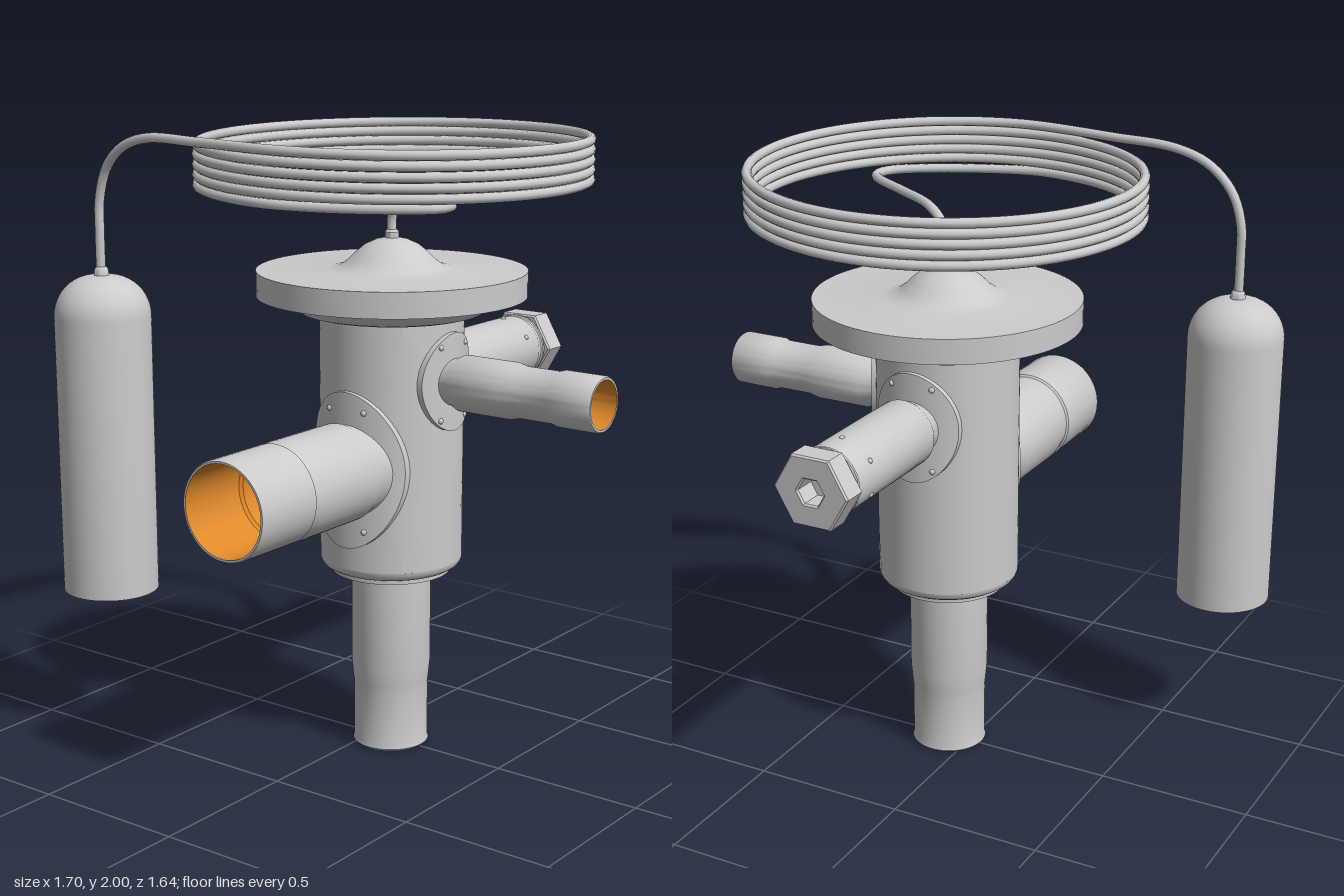
import * as THREE from 'three';
import { toCreasedNormals } from 'three/addons/utils/BufferGeometryUtils.js';

const grey = new THREE.MeshStandardMaterial({ color: 0xcccccc, side: THREE.DoubleSide });
const copper = new THREE.MeshStandardMaterial({ color: 0xe08a2c, side: THREE.DoubleSide });
const brass = new THREE.MeshStandardMaterial({ color: 0xd8b030 });
const R = 0.228; // body radius
const BODY_LOW = 0.64, BODY_TOP = 1.44;

function add(parent, name, geometry, material = grey) {
  const mesh = new THREE.Mesh(geometry, material);
  mesh.name = name;
  parent.add(mesh);
  return mesh;
}

// Turned part from [radius, height] pairs, listed bottom to top
function turned(points, segments = 64) {
  const g = new THREE.LatheGeometry(points.map(([r, y]) => new THREE.Vector2(r, y)), segments);
  return toCreasedNormals(g, 0.6);
}

// Closed-loop rows of [x, y, radius] laid on a cylinder around y, facing +z
function wrapped(rows, turn, segments = 64) {
  const pos = [], index = [], w = segments + 1;
  rows.forEach((row, i) => {
    for (let j = 0; j <= segments; j++) {
      const [x, y, r] = row((j / segments) * Math.PI * 2);
      pos.push(x, y, Math.sqrt(r * r - x * x));
      if (i && j) {
        const a = (i - 1) * w + j - 1, b = i * w + j - 1;
        index.push(a, a + 1, b, a + 1, b + 1, b);
      }
    }
  });
  const g = new THREE.BufferGeometry();
  g.setAttribute('position', new THREE.Float32BufferAttribute(pos, 3));
  g.setIndex(index);
  return toCreasedNormals(g, 0.6).rotateY(turn);
}

// Quarter of the body wall with a round port cut in it
function portWall(turn, cy, hole) {
  const half = R * Math.SQRT1_2, rows = [];
  for (let i = 0; i <= 8; i++) {
    rows.push((a) => {
      const c = Math.cos(a), s = Math.sin(a), m = Math.max(Math.abs(c), Math.abs(s)), k = i / 8;
      const edgeY = THREE.MathUtils.lerp(BODY_LOW, BODY_TOP, (s / m + 1) / 2);
      return [
        THREE.MathUtils.lerp((half * c) / m, hole * c, k),
        THREE.MathUtils.lerp(edgeY, cy + hole * s, k), R];
    });
  }
  return wrapped(rows, turn);
}

// Oval saddle flange hugging the body, with four small rivets
function saddle(parent, name, turn, cy, hw, hh, inner, dx, dy) {
  const t = 0.016, group = new THREE.Group();
  group.name = name;
  const rows = [(a) => [hw * Math.cos(a), cy + hh * Math.sin(a), R - 0.005]];
  for (let i = 0; i <= 6; i++) {
    const w = THREE.MathUtils.lerp(hw, inner, i / 6), h = THREE.MathUtils.lerp(hh, inner, i / 6);
    rows.push((a) => [w * Math.cos(a), cy + h * Math.sin(a), R + t]);
  }
  add(group, name + 'Plate', wrapped(rows, turn));
  for (const sx of [-1, 1]) for (const sy of [-1, 1]) {
    const g = new THREE.SphereGeometry(0.01, 12, 8);
    g.translate(sx * dx, cy + sy * dy, Math.sqrt((R + t) ** 2 - dx * dx) - 0.003).rotateY(turn);
    add(group, name + 'Rivet', g);
  }
  parent.add(group);
}

// Pipe along local y: outer skin and lining
function pipe(parent, name, outer, lining, liningMaterial) {
  const group = new THREE.Group();
  group.name = name;
  add(group, name + 'Skin', turned(outer));
  add(group, name + 'Lining', turned(lining), liningMaterial);
  parent.add(group);
  return group;
}

function hexagon(r, Type = THREE.Shape) {
  const pts = [];
  for (let i = 0; i < 6; i++) pts.push(new THREE.Vector2(r * Math.cos(i * Math.PI / 3), r * Math.sin(i * Math.PI / 3)));
  return new Type(pts);
}

export function createModel() {
  const model = new THREE.Group();
  model.name = 'expansionValve';
  const valve = new THREE.Group();
  valve.name = 'valve';
  valve.position.x = 0.075;
  model.add(valve);

  // Body: two ported quarters, a plain half and a stepped floor
  add(valve, 'bodyFrontWall', portWall(0, 0.965, 0.14));
  add(valve, 'bodySideWall', portWall(Math.PI / 2, 1.237, 0.072));
  const half = new THREE.CylinderGeometry(R, R, BODY_TOP - BODY_LOW, 48, 1, true, Math.PI * 0.75, Math.PI);
  add(valve, 'bodyBackWall', half.translate(0, (BODY_TOP + BODY_LOW) / 2, 0));
  add(valve, 'bodyFloor', turned([[0.11, 0.592], [0.19, 0.592], [0.19, 0.607], [0.205, 0.61], [0.219, 0.619], [0.226, 0.63], [R, BODY_LOW]]));

  // Diaphragm head
  add(valve, 'head', turned([[0.2, 1.43], [0.265, 1.43], [0.29, 1.437], [0.307, 1.453], [0.325, 1.475], [0.35, 1.485],
    [0.425, 1.485], [0.425, 1.565], [0.2, 1.567], [0.165, 1.575], [0.14, 1.592], [0.115, 1.617], [0.085, 1.642],
    [0.05, 1.658], [0.022, 1.664], [0.022, 1.682], [0.015, 1.69], [0, 1.69]], 96));

  // Bottom pipe, open below
  pipe(valve, 'bottomPipe',
    [[0.108, 0.006], [0.116, 0], [0.123, 0.008], [0.12, 0.02], [0.12, 0.205], [0.122, 0.22], [0.128, 0.285], [0.128, 0.6]],
    [[0.108, 0.006], [0.108, 0.2], [0.1, 0.21], [0.1, 0.6]], grey);

  // Large front pipe
  saddle(valve, 'frontFlange', 0, 0.965, 0.177, 0.25, 0.145, 0.065, 0.19);
  const front = pipe(valve, 'frontPipe',
    [[0.148, 0.14], [0.148, 0.245], [0.155, 0.27], [0.155, 0.53], [0.148, 0.565], [0.148, 0.572], [0.154, 0.578],
      [0.154, 0.812], [0.15, 0.82], [0.143, 0.82]],
    [[0.143, 0.82], [0.143, 0.58], [0.135, 0.57], [0.135, 0.16]], copper);
  front.position.y = 0.965;
  front.rotation.x = Math.PI / 2;

  // Small side pipe
  saddle(valve, 'sideFlange', Math.PI / 2, 1.237, 0.127, 0.155, 0.066, 0.063, 0.115);
  const side = pipe(valve, 'sidePipe',
    [[0.074, 0.2], [0.074, 0.25], [0.088, 0.28], [0.088, 0.46], [0.08, 0.495], [0.08, 0.615], [0.086, 0.635],
      [0.086, 0.768], [0.082, 0.774], [0.075, 0.774]],
    [[0.075, 0.774], [0.075, 0.63], [0.068, 0.615], [0.068, 0.21]], copper);
  side.position.y = 1.237;
  side.rotation.z = -Math.PI / 2;

  // Rear adjusting stem with hex cap and socket
  saddle(valve, 'rearFlange', Math.PI, 1.203, 0.145, 0.18, 0.085, 0.07, 0.135);
  const rear = new THREE.Group();
  rear.name = 'rearStem';
  rear.position.y = 1.203;
  rear.rotation.x = -Math.PI / 2;
  valve.add(rear);
  add(rear, 'rearTube', turned([[0.09, 0.18], [0.09, 0.25], [0.108, 0.285], [0.108, 0.7], [0.104, 0.708], [0.104, 0.718],
    [0.108, 0.722], [0.108, 0.73], [0.095, 0.735], [0.095, 0.745], [0, 0.745]]));
  for (let i = 0; i < 6; i++) {
    const a = (i * Math.PI) / 3 + Math.PI / 6;
    const g = new THREE.SphereGeometry(0.009, 10, 8).translate(0.106 * Math.cos(a), 0.64, 0.106 * Math.sin(a));
    add(rear, 'rearTubePin', g);
  }
  const hex = hexagon(0.12);
  hex.holes.push(hexagon(0.05, THREE.Path));
  const hexGeo = new THREE.ExtrudeGeometry(hex, { depth: 0.072, bevelThickness: 0.006, bevelSize: 0.005, bevelSegments: 1 });
  add(rear, 'hexCap', hexGeo.rotateX(-Math.PI / 2).translate(0, 0.742, 0));

  // Inner seat, stem and disc seen through the front port
  add(valve, 'valveSeat', turned([[0, 0.89], [0.1, 0.89], [0.1, 0.967], [0.08, 0.967], [0.08, 0.95], [0, 0.95]]));
  add(valve, 'valveStem', turned([[0.012, 0.95], [0.012, 1.0], [0.025, 1.01], [0.025, 1.07]], 24));
  add(valve, 'valveDisc', new THREE.CylinderGeometry(0.055, 0.055, 0.025, 32).translate(0, 1.08, 0), brass);

  // Capillary: lead from the head, five coils, lead to the bulb
  const V = (x, y, z) => new THREE.Vector3(x, y, z);
  const path = [V(0, 1.675, 0), V(0, 1.73, 0), V(0.03, 1.79, 0.02), V(0.1, 1.824, 0.068), V(0.25, 1.828, 0.17),
    V(0.4, 1.828, 0.27), V(0.442, 1.828, 0.32), V(0.435, 1.828, 0.385), V(0.36, 1.828, 0.455), V(0.18, 1.828, 0.55)];
  const turns = 5, steps = 28;
  for (let i = 0; i <= turns * steps; i++) {
    const a = (i / steps) * Math.PI * 2;
    path.push(V(-0.604 * Math.sin(a), 1.83 + (0.154 * i) / (turns * steps), 0.604 * Math.cos(a) - 0.007));
  }
  path.push(V(-0.3, 1.984, 0.56), V(-0.53, 1.98, 0.53), V(-0.65, 1.945, 0.513), V(-0.735, 1.87, 0.5),
    V(-0.772, 1.77, 0.495), V(-0.775, 1.68, 0.495), V(-0.775, 1.53, 0.495));
  const curve = new THREE.CatmullRomCurve3(path);
  curve.arcLengthDivisions = 3000;
  add(valve, 'capillaryTube', new THREE.TubeGeometry(curve, 900, 0.0155, 10));

  // Sensing bulb with rounded top and bottom nub
  const profile = [[0, 0.503], [0.154, 0.503]];
  for (let i = 0; i <= 12; i++) {
    const a = (i / 12) * Math.PI / 2;
    profile.push([0.024 + 0.13 * Math.cos(a), 1.405 + 0.13 * Math.sin(a)]);
  }
  profile.push([0.022, 1.553], [0.015, 1.562], [0, 1.562]);
  const bulb = new THREE.Group();
  bulb.name = 'sensingBulb';
  bulb.position.set(-0.698, 0, 0.495);
  add(bulb, 'bulbShell', turned(profile));
  add(bulb, 'bulbNub', new THREE.SphereGeometry(0.038, 24, 16).translate(0, 0.496, 0));
  model.add(bulb);

  return model;
}
